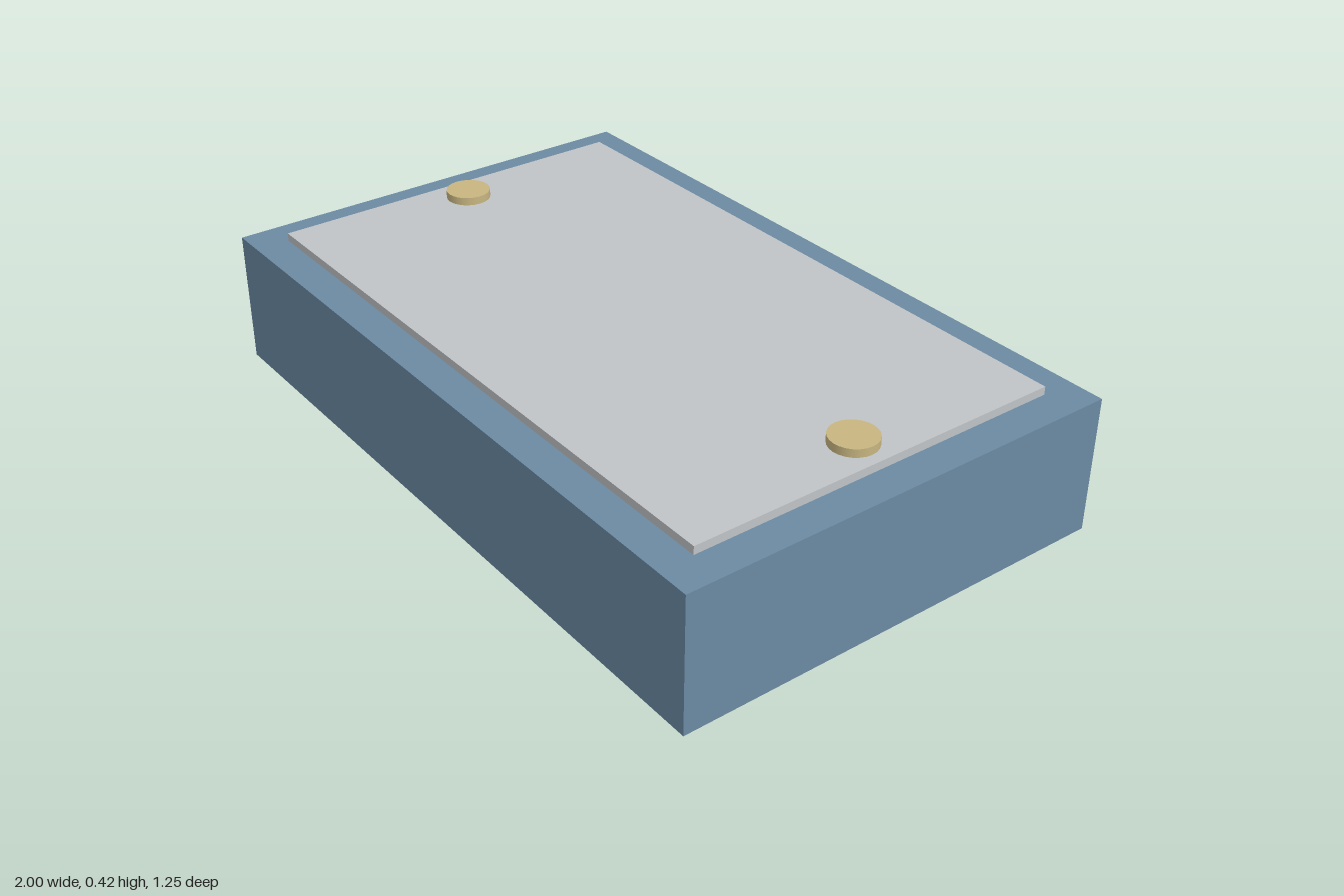
import * as THREE from 'three';

const flat = (name, color) => {
  const material = new THREE.MeshStandardMaterial({ color });
  material.name = name;
  return material;
};

export function createModel() {
  const model = new THREE.Group();
  model.name = 'coveredBox';
  const blue = flat('steel blue', 0x6b8aa2);
  const grey = flat('light grey', 0xc1c4c7);
  const brass = flat('brass', 0xc8b681);

  const add = (name, geometry, material, x, y) => {
    const mesh = new THREE.Mesh(geometry, material);
    mesh.name = name;
    mesh.position.set(x, y, 0);
    model.add(mesh);
  };

  // Main block
  add('body', new THREE.BoxGeometry(2, 0.375, 1.25), blue, 0, 0.1875);

  // Thin cover plate resting on the block
  add('coverPlate', new THREE.BoxGeometry(1.81, 0.0225, 1.06), grey, 0, 0.38625);

  // Round fasteners at both ends of the plate
  const fastener = new THREE.CylinderGeometry(0.0625, 0.0625, 0.0225, 24);
  for (const side of [1, -1]) {
    add(side > 0 ? 'leftFastener' : 'rightFastener', fastener, brass, side * 0.8125, 0.40875);
  }

  return model;
}
